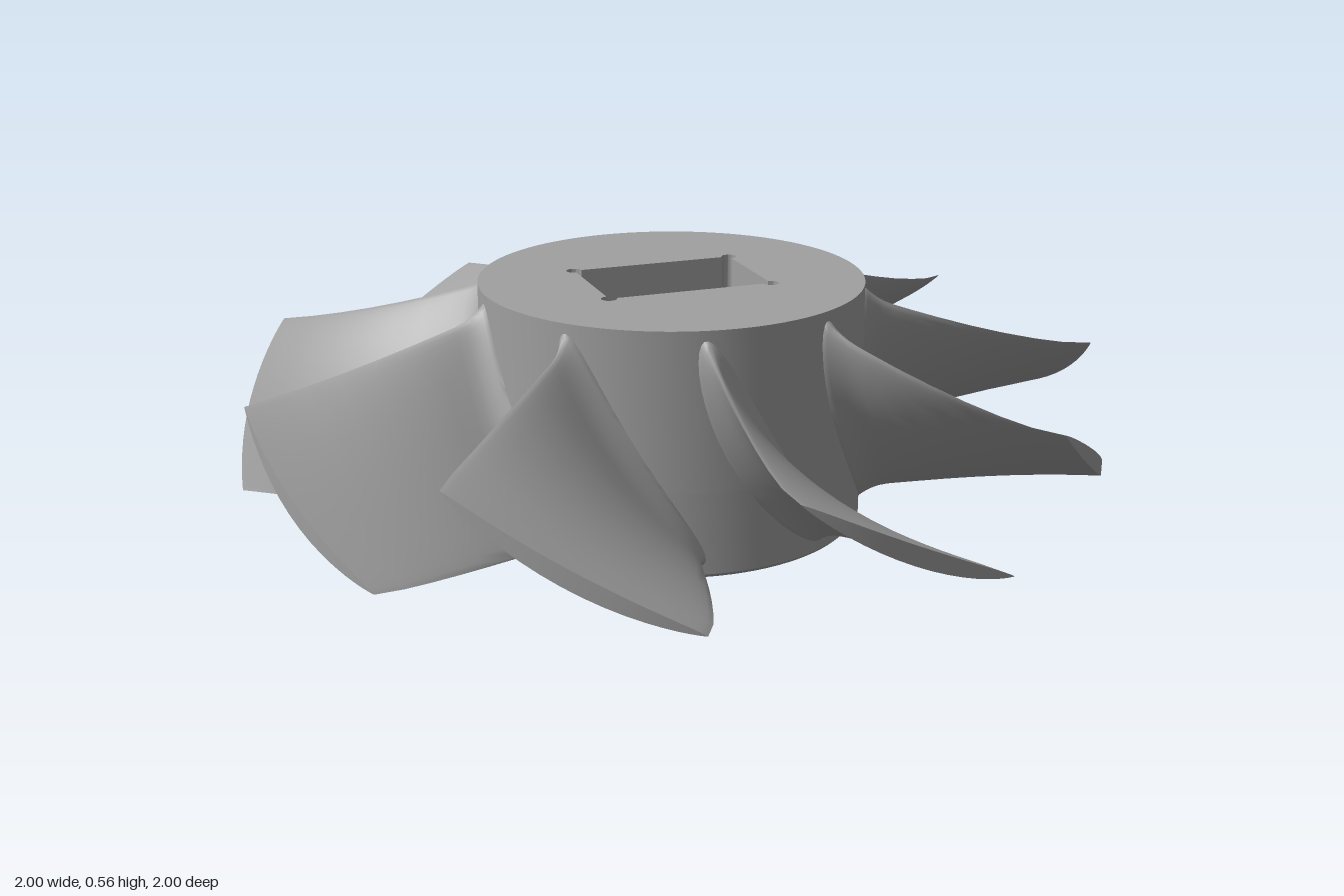
import * as THREE from 'three';
import { toCreasedNormals } from 'three/addons/utils/BufferGeometryUtils.js';

const HUB_R = 0.447, HUB_H = 0.565, FLOOR = 0.2, BORE = 0.115;

// Rectangular pocket outline with round corner reliefs
function pocketPath() {
  const path = new THREE.Path(), turn = Math.atan2(0.305, 0.245);
  const corners = [[-1, -1], [1, -1], [1, 1], [-1, 1]];
  corners.forEach(([sx, sy], i) => {
    const c = new THREE.Vector2(sx * 0.195, sy * 0.13).rotateAround(new THREE.Vector2(), turn);
    const a = turn + (i - 1) * Math.PI / 2; // direction of the edge arriving here
    path.absarc(c.x, c.y, 0.018, a + Math.PI, a + 2.5 * Math.PI, false);
  });
  path.closePath();
  return path;
}

// Unrolled blade section at radius r: closed loop of (arc length, height)
function bladeSection(r, n) {
  const q = Math.min(1, (1 - r) / (1 - HUB_R));
  const fillet = 0.035 * Math.max(0, 1 - Math.max(0, r - HUB_R) / 0.07) ** 2;
  const half = (0.262 + 0.06 * q ** 0.6) * r;
  const a = new THREE.Vector2(-half, 0.385 + 0.135 * q ** 1.4);
  const b = new THREE.Vector2(half, 0.13 - 0.075 * q);
  const dir = b.clone().sub(a).normalize();
  const normal = new THREE.Vector2(dir.y, -dir.x);
  a.addScaledVector(dir, -fillet * 0.7);
  b.addScaledVector(dir, fillet * 0.7);
  const camber = 0.018 + 0.022 * q, thick = 0.02 + 0.002 * q + fillet, power = 0.8 - 0.3 * q;
  const loop = [];
  for (let k = 0; k < 2 * n; k++) {
    const lower = k <= n;
    const u = (1 - Math.cos(Math.PI * (lower ? k : 2 * n - k) / n)) / 2;
    const bow = Math.max(0, 4 * u * (1 - u));
    const off = camber * bow + (lower ? 1 : -1) * thick * bow ** power;
    loop.push(a.clone().lerp(b, u).addScaledVector(normal, off));
  }
  return loop;
}

// Twisted blade skinned through the sections, wrapped onto cylinders about y
function bladeGeometry() {
  const n = 20, m = 2 * n, pos = [], idx = [];
  const radii = [0.435, 0.447, 0.455, 0.465, 0.478, 0.495, 0.517, 0.56, 0.62, 0.7, 0.78, 0.86, 0.93, 1];
  radii.forEach((r, i) => {
    for (const p of bladeSection(r, n)) {
      pos.push(r * Math.sin(p.x / r), p.y, r * Math.cos(p.x / r));
    }
    if (i === 0) return;
    for (let j = 0; j < m; j++) {
      const a = (i - 1) * m + j, b = (i - 1) * m + (j + 1) % m;
      idx.push(a, b, b + m, a, b + m, a + m);
    }
  });
  // Tip face
  const o = (radii.length - 1) * m;
  for (let k = 0; k < n; k++) {
    const l0 = o + k, l1 = l0 + 1, u0 = o + (m - k) % m, u1 = o + m - k - 1;
    if (l1 !== u1) idx.push(l0, l1, u1);
    if (l0 !== u0) idx.push(l0, u1, u0);
  }
  const g = new THREE.BufferGeometry();
  g.setAttribute('position', new THREE.Float32BufferAttribute(pos, 3));
  g.setIndex(idx);
  return toCreasedNormals(g, 0.75);
}

export function createModel() {
  const model = new THREE.Group();
  model.name = 'impeller';
  const grey = new THREE.MeshStandardMaterial({ color: 0xa0a0a0 });
  grey.name = 'grey';
  const add = (name, geometry) => {
    const mesh = new THREE.Mesh(geometry, grey);
    mesh.name = name;
    model.add(mesh);
    return mesh;
  };

  // Lower hub with round bore and a small bottom chamfer
  const profile = [[BORE, FLOOR], [BORE, 0], [HUB_R - 0.01, 0], [HUB_R, 0.01], [HUB_R, FLOOR], [BORE, FLOOR]]
    .map(([x, y]) => new THREE.Vector2(x, y));
  add('hubBase', toCreasedNormals(new THREE.LatheGeometry(profile, 96), 0.5));

  // Upper hub with the rectangular pocket
  const disc = new THREE.Shape();
  disc.absarc(0, 0, HUB_R, 0, Math.PI * 2, false);
  disc.holes.push(pocketPath());
  const upper = new THREE.ExtrudeGeometry(disc, { depth: HUB_H - FLOOR, bevelEnabled: false, curveSegments: 48 });
  upper.rotateX(-Math.PI / 2).translate(0, FLOOR, 0);
  add('hubTop', toCreasedNormals(upper, 0.5));

  // Nine blades
  const blade = bladeGeometry();
  for (let i = 0; i < 9; i++) {
    add('blade' + (i + 1), blade).rotation.y = Math.PI + i * Math.PI * 2 / 9;
  }
  return model;
}
